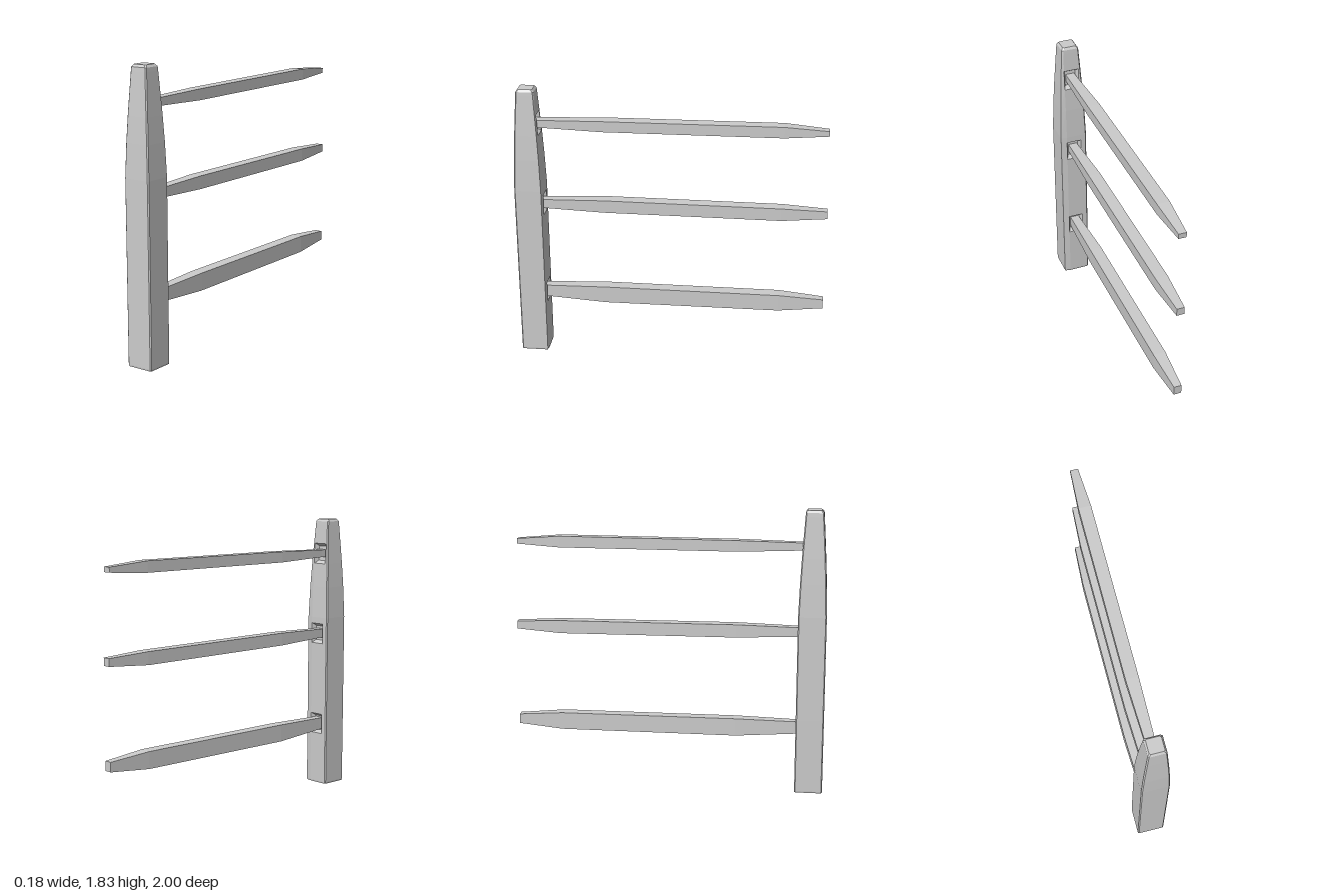
import * as THREE from 'three';

const material = new THREE.MeshStandardMaterial({ color: 0xcccccc, flatShading: true });

// Collects quads and polygons into one flat-shaded mesh
class Facets {
  constructor() { this.v = []; }
  poly(...p) {
    for (let i = 1; i < p.length - 1; i++) this.v.push(...p[0], ...p[i], ...p[i + 1]);
  }
  // Walls between two rings; skip(i) leaves a side open
  band(a, b, skip = () => false) {
    a.forEach((p, i) => {
      const j = (i + 1) % a.length;
      if (!skip(i)) this.poly(p, a[j], b[j], b[i]);
    });
  }
  mesh(name) {
    const g = new THREE.BufferGeometry();
    g.setAttribute('position', new THREE.Float32BufferAttribute(this.v, 3));
    g.computeVertexNormals();
    const m = new THREE.Mesh(g, material);
    m.name = name;
    return m;
  }
}

const POST_Z = 0.91;
const SOCKET_W = 0.05, SOCKET_H = 0.068, SOCKET_DEPTH = 0.03;
const BACK_MIDDLE = 4; // ring side that holds the sockets

// Post half-width by height: straight below, curving in to a bevelled top
const profile = [[0.01, 0.088], [0.02, 0.09], [1.17, 0.09], [1.38, 0.083],
  [1.56, 0.074], [1.8, 0.059], [1.825, 0.057], [1.84, 0.046]];

function halfWidth(y) {
  const k = Math.max(1, profile.findIndex(p => p[0] >= y));
  const [y0, w0] = profile[k - 1], [y1, w1] = profile[k];
  return THREE.MathUtils.mapLinear(y, y0, y1, w0, w1);
}

// Square ring with cut corners, its back edge split at the socket width
function postRing(y) {
  const h = halfWidth(y), c = h - 0.007, s = Math.min(SOCKET_W, c - 0.004);
  return [[-c, h], [c, h], [h, c], [h, -c], [s, -h], [-s, -h], [-c, -h], [-h, -c], [-h, c]]
    .map(([x, z]) => [x, y, POST_Z + z]);
}

function makePost(socketHeights) {
  const f = new Facets();
  const ys = profile.map(p => p[0]);
  // Remove profile rows that would cut through a socket
  const levels = ys.filter(y => !socketHeights.some(s => Math.abs(y - s) < SOCKET_H));
  socketHeights.forEach(s => levels.push(s - SOCKET_H, s + SOCKET_H));
  levels.sort((a, b) => a - b);
  const rings = levels.map(postRing);

  for (let k = 0; k < rings.length - 1; k++) {
    const a = rings[k], b = rings[k + 1];
    const mid = (levels[k] + levels[k + 1]) / 2;
    const open = socketHeights.some(s => Math.abs(mid - s) < 0.001);
    f.band(a, b, i => open && i === BACK_MIDDLE);
    if (open) {
      // Sloping socket walls and floor
      const rim = [a[4], a[5], b[5], b[4]];
      const floor = rim.map(([x, y, z]) => [x * 0.72, mid + (y - mid) * 0.72, z + SOCKET_DEPTH]);
      f.band(rim, floor);
      f.poly(...floor);
    }
  }
  f.poly(...rings[0].slice().reverse());
  f.poly(...rings[rings.length - 1]);
  return f.mesh('post');
}

// Rail sections: z, left x, right x (shared by all rails)
const stations = [[0.9, -0.03, 0.03], [0.82, -0.03, 0.03], [0.43, -0.045, 0.035],
  [-0.71, -0.045, 0.035], [-1, -0.03, 0.02]];

// heights: [bottom, top] at the socket, front knee, back knee and tip
function makeRail(name, heights, tip) {
  const f = new Facets();
  const rings = stations.map(([z, l, r], k) => {
    const [b, t] = heights[Math.max(0, k - 1)];
    const zz = k === stations.length - 1 ? tip : z;
    return [[l, t, zz], [r, t, zz], [r, b, zz], [l, b, zz]];
  });
  for (let k = 0; k < rings.length - 1; k++) f.band(rings[k], rings[k + 1]);
  f.poly(...rings[0].slice().reverse());
  f.poly(...rings[rings.length - 1]);
  return f.mesh(name);
}

export function createModel() {
  const group = new THREE.Group();
  group.name = 'fencePost';
  group.add(makePost([0.43, 1.06, 1.607]));
  group.add(makeRail('lowerRail', [[0.39, 0.47], [0.367, 0.48], [0.37, 0.48], [0.395, 0.457]], -1));
  group.add(makeRail('middleRail', [[1.033, 1.092], [1.02, 1.103], [1.017, 1.1], [1.037, 1.087]], -1));
  group.add(makeRail('upperRail', [[1.585, 1.634], [1.573, 1.643], [1.578, 1.65], [1.595, 1.628]], -0.987));
  return group;
}
